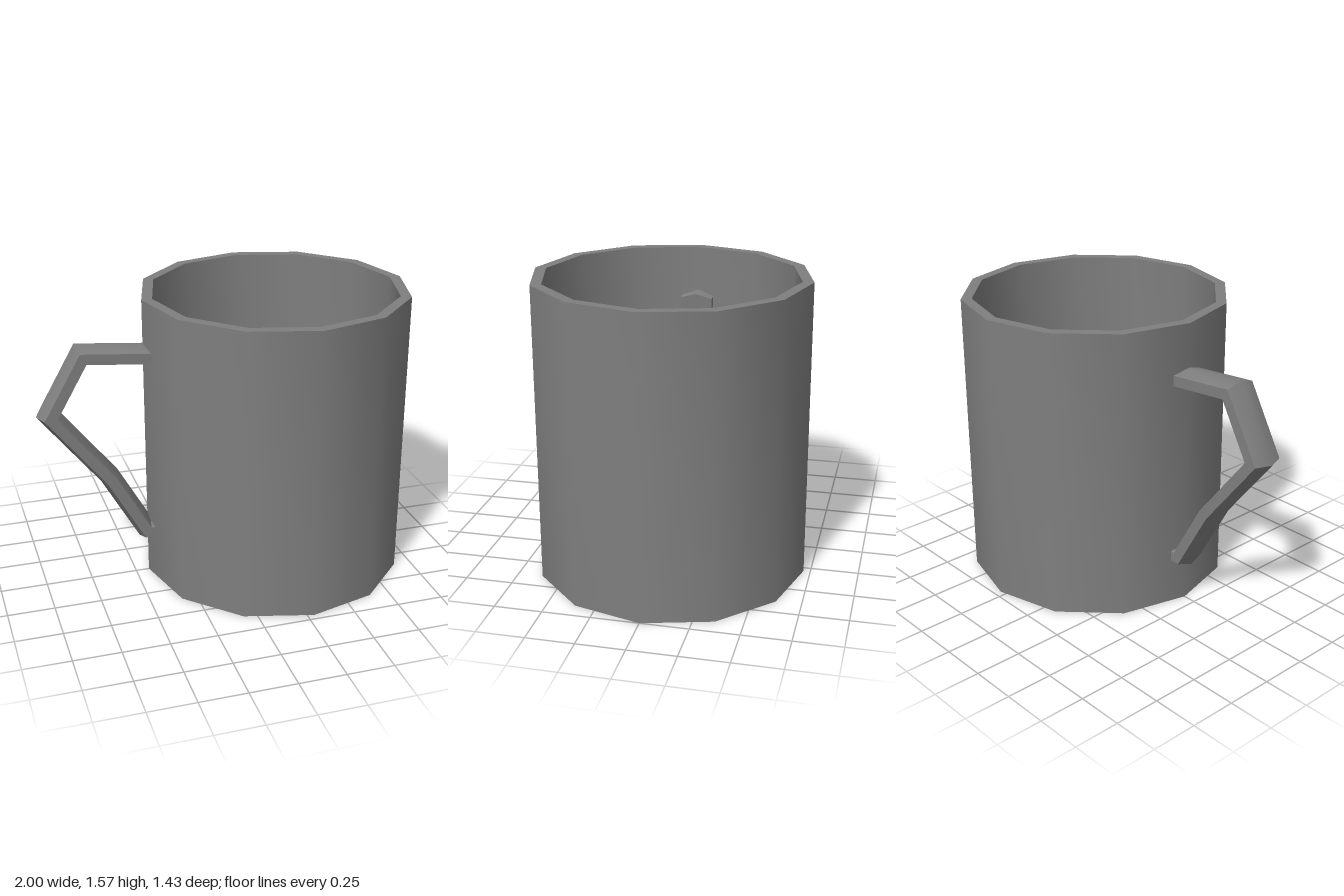
import * as THREE from 'three';
import { toCreasedNormals } from 'three/addons/utils/BufferGeometryUtils.js';

const CREASE = 0.62; // keeps the 12-sided wall smooth, rims and handle edges sharp

// Sweeps a section of [offset, z] points along a path in the xy plane, with mitred corners
function sweep(path, section) {
  const positions = [], index = [], n = section.length, last = path.length - 1;
  path.forEach((p, i) => {
    const before = p.clone().sub(path[Math.max(i - 1, 0)]).normalize();
    const after = path[Math.min(i + 1, last)].clone().sub(p).normalize();
    const tangent = before.clone().add(after).normalize();
    const stretch = 1 / tangent.dot(i < last ? after : before);
    for (const [offset, z] of section) {
      positions.push(p.x - tangent.y * offset * stretch, p.y + tangent.x * offset * stretch, z);
    }
  });
  for (let i = 0; i < last; i++) {
    for (let j = 0; j < n; j++) {
      const a = i * n + j, b = i * n + (j + 1) % n;
      index.push(a, b, b + n, a, b + n, a + n);
    }
  }
  // End caps
  for (let j = 1; j < n - 1; j++) {
    index.push(0, j + 1, j, last * n, last * n + j, last * n + j + 1);
  }
  const geometry = new THREE.BufferGeometry();
  geometry.setAttribute('position', new THREE.Float32BufferAttribute(positions, 3));
  geometry.setIndex(index);
  return toCreasedNormals(geometry, CREASE);
}

export function createModel() {
  const group = new THREE.Group();
  group.name = 'mug';
  const material = new THREE.MeshStandardMaterial({ color: 0x7f7f7f });
  const points = list => list.map(([x, y]) => new THREE.Vector2(x, y));

  // Hollow twelve-sided cup: underside, outer wall, rim, inner wall, floor
  const profile = points([[0, 0], [0.714, 0], [0.714, 1.57], [0.657, 1.57], [0.657, 0.06], [0, 0.06]]);
  const cup = new THREE.Mesh(toCreasedNormals(new THREE.LatheGeometry(profile, 12), CREASE), material);
  cup.name = 'cup';
  cup.position.x = 0.286;
  group.add(cup);

  // Angular handle with a flattened hexagonal section, its ends reaching through the wall
  const path = points([[-0.3, 1.27], [-0.755, 1.313], [-0.934, 1.0], [-0.63, 0.613], [-0.443, 0.278], [-0.285, 0.278]]);
  const section = [[0.054, 0], [0.028, 0.087], [-0.028, 0.087], [-0.054, 0], [-0.028, -0.087], [0.028, -0.087]];
  const handle = new THREE.Mesh(sweep(path, section), material);
  handle.name = 'handle';
  group.add(handle);

  return group;
}
